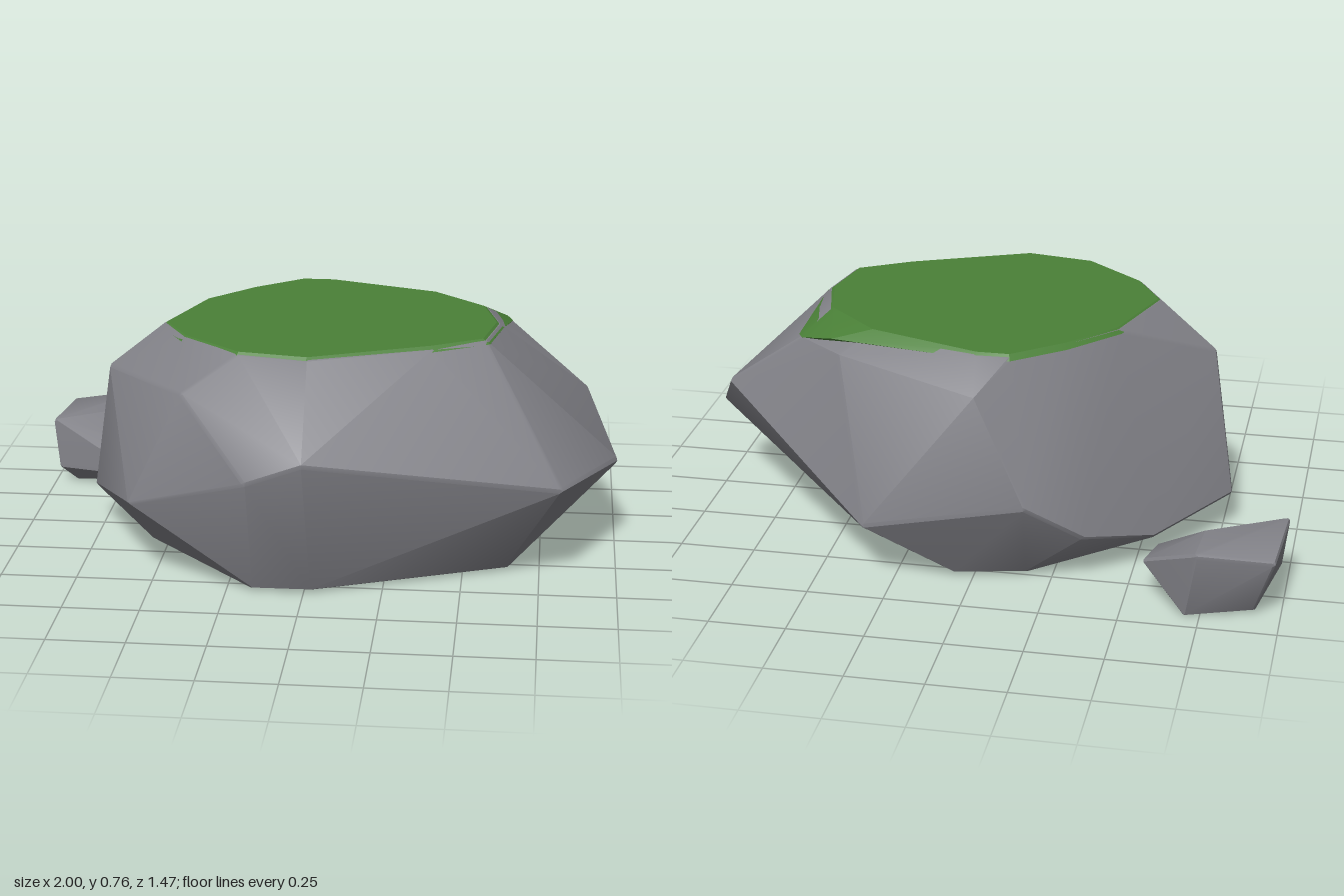
import * as THREE from 'three';
import { ConvexGeometry } from 'three/addons/geometries/ConvexGeometry.js';
import { toCreasedNormals } from 'three/addons/utils/BufferGeometryUtils.js';

// Convex stone through the given corners, with small worn edges of radius r
function stone(corners, r, crease) {
  const ball = new THREE.IcosahedronGeometry(r, 0).getAttribute('position');
  const offsets = new Map();
  for (let i = 0; i < ball.count; i++) {
    const v = new THREE.Vector3().fromBufferAttribute(ball, i);
    offsets.set(v.toArray().map((n) => n.toFixed(5)).join(), v);
  }
  const pts = corners.map((c) => new THREE.Vector3(...c));
  const center = new THREE.Box3().setFromPoints(pts).getCenter(new THREE.Vector3());
  const cloud = [];
  for (const p of pts) {
    const inner = p.clone().addScaledVector(p.clone().sub(center).normalize(), -r);
    for (const o of offsets.values()) cloud.push(inner.clone().add(o));
  }
  return toCreasedNormals(new ConvexGeometry(cloud), crease);
}

// Outline of the flat top, as x, z
const rim = [
  [-0.52, 0.1], [-0.42, -0.2], [-0.27, -0.37], [-0.11, -0.5], [0, -0.5], [0.38, -0.37],
  [0.56, -0.2], [0.61, 0], [0.57, 0.2], [0.4, 0.3], [0, 0.47], [-0.23, 0.43], [-0.43, 0.26],
];
const ring = (scale, y) => rim.map(([x, z]) => [x * scale, y, z * scale]);

export function createModel() {
  const group = new THREE.Group();
  const gray = new THREE.MeshStandardMaterial({ color: 0x828288 });
  gray.name = 'stone gray';
  const green = new THREE.MeshStandardMaterial({ color: 0x4a8037 });
  green.name = 'moss green';
  const add = (name, geometry, material) => {
    const mesh = new THREE.Mesh(geometry, material);
    mesh.name = name;
    group.add(mesh);
  };

  // Large boulder
  add('boulder', stone([
    ...ring(0.985, 0.746),
    // shoulder, back and left
    [0.47, 0.68, -0.41], [0.62, 0.685, -0.3], [-0.02, 0.65, -0.61],
    [-0.7, 0.59, 0.08], [-0.4, 0.63, 0.49],
    // widest ridge
    [-0.57, 0.27, 0.52], [-0.17, 0.42, 0.72], [0.01, 0.49, 0.735], [0.82, 0.33, 0.44],
    [1, 0.3, 0.04], [0.9, 0.47, -0.2], [0.33, 0.21, -0.68], [-0.19, 0.31, -0.67],
    [-0.36, 0.17, -0.55], [-0.56, 0.1, -0.35], [-0.78, 0.13, -0.03],
    // base
    [-0.17, 0.01, 0.56], [0.02, 0.01, 0.56], [0.65, 0.01, 0.3], [0.5, 0.01, -0.2],
    [0.06, 0.01, -0.55], [-0.17, 0.01, -0.5], [-0.54, 0.01, -0.12], [-0.56, 0.01, 0.15],
  ], 0.014, 0.45), gray);

  // Moss on top, hanging over the back right shoulder
  add('mossCap', toCreasedNormals(new ConvexGeometry([
    ...ring(0.96, 0.755), ...ring(1.0, 0.738),
    [0.5, 0.715, -0.365], [0.615, 0.69, -0.31], [0.635, 0.685, -0.27],
  ].map((c) => new THREE.Vector3(...c))), 0.3), green);

  // Small loose rock
  add('smallRock', stone([
    [-0.98, 0.21, -0.69], [-0.74, 0.235, -0.735], [-0.56, 0.14, -0.61], [-0.58, 0.1, -0.42],
    [-0.69, 0.06, -0.31], [-1, 0.225, -0.4], [-0.75, 0.235, -0.55], [-0.98, 0.06, -0.38],
    [-0.93, 0, -0.42], [-0.69, 0, -0.42], [-0.7, 0, -0.68], [-0.92, 0.01, -0.62],
  ], 0.012, 0.45), gray);

  return group;
}
